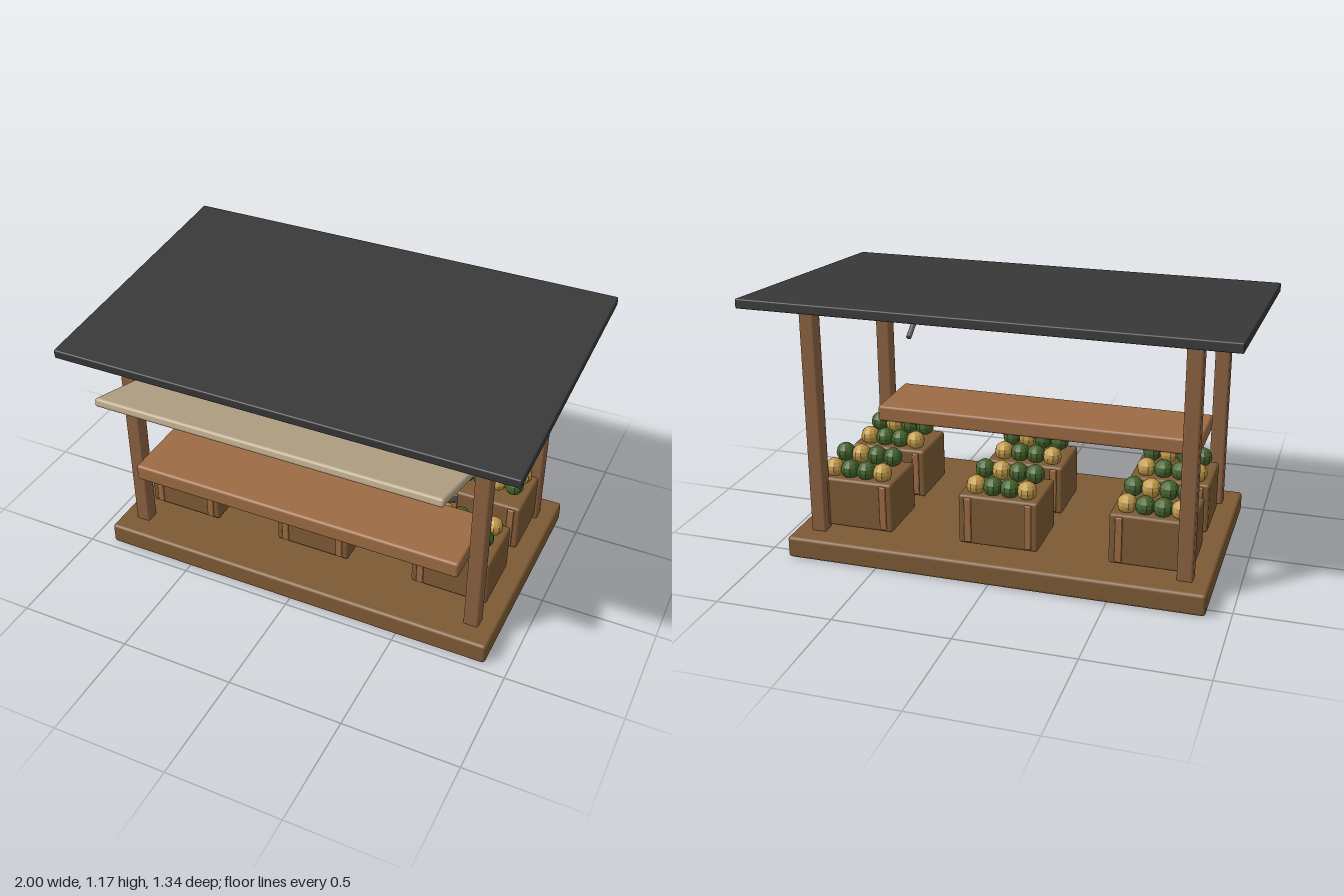
import * as THREE from 'three';
import { RoundedBoxGeometry } from 'three/addons/geometries/RoundedBoxGeometry.js';

const mat = (color, flatShading = false) => new THREE.MeshStandardMaterial({ color, flatShading });

export function createModel() {
  const stall = new THREE.Group();
  stall.name = 'marketStall';

  const darkWood = mat(0x7d5a34);
  const postWood = mat(0x8b6140);
  const counterWood = mat(0x9c6b43);
  const roofing = mat(0x383838);
  const cloth = mat(0xb8a688);
  const metal = mat(0x666666);
  const green = mat(0x45632d, true);
  const yellow = mat(0xc09a48, true);

  // Softly bevelled box, centred on (x, y, z)
  function box(name, parent, material, [w, h, d], [x, y, z], bevel = 0.01) {
    const mesh = new THREE.Mesh(new RoundedBoxGeometry(w, h, d, 2, bevel), material);
    mesh.name = name;
    mesh.position.set(x, y, z);
    parent.add(mesh);
    return mesh;
  }

  // Platform and serving counter
  box('platform', stall, darkWood, [1.8, 0.095, 1.03], [0, 0.0475, -0.05], 0.014);
  box('counter', stall, counterWood, [1.5, 0.074, 0.336], [0, 0.433, 0.273], 0.012);

  // Corner posts
  for (const x of [-0.797, 0.797])
    for (const z of [0.336, -0.437])
      box('post', stall, postWood, [0.066, 0.99, 0.066], [x, 0.583, z], 0.01);

  // Roof, rising towards the back
  box('roof', stall, roofing, [2, 0.04, 1.24], [0, 1.101, -0.05], 0.006).rotation.x = 0.08;

  // Raised front shutter
  box('shutter', stall, cloth, [1.5, 0.037, 0.375], [0, 0.898, 0.487], 0.012).rotation.x = -0.283;

  // Props holding the shutter
  const propAxis = new THREE.Vector3(0, 0.168, 0.232).normalize();
  for (const x of [-0.69, 0.69]) {
    const prop = new THREE.Mesh(new THREE.CylinderGeometry(0.0125, 0.0125, 0.288, 10), metal);
    prop.name = 'shutterProp';
    prop.position.set(x, 0.812, 0.479);
    prop.quaternion.setFromUnitVectors(new THREE.Vector3(0, 1, 0), propAxis);
    stall.add(prop);
  }

  // Crates of produce: three across, two deep
  const fruitGeometry = new THREE.SphereGeometry(0.042, 10, 8);
  function produceCrate(x, z) {
    const crate = new THREE.Group();
    crate.name = 'produceCrate';
    crate.position.set(x, 0, z);
    box('crateBody', crate, darkWood, [0.345, 0.222, 0.268], [0, 0.217, 0], 0.012);
    for (const sx of [-1, 1])
      for (const sz of [-1, 1])
        box('crateSlat', crate, counterWood, [0.03, 0.2, 0.02], [sx * 0.131, 0.217, sz * 0.133], 0.005);

    // Front row sits a little higher than the back row
    for (let row = 0; row < 2; row++)
      for (let col = 0; col < 4; col++) {
        const isYellow = (col - row + 3) % 3 === 2;
        const fruit = new THREE.Mesh(fruitGeometry, isYellow ? yellow : green);
        fruit.name = 'fruit';
        fruit.position.set((col - 1.5) * 0.074, row ? 0.356 : 0.381, row ? -0.076 : 0.045);
        crate.add(fruit);
      }
    stall.add(crate);
  }
  for (const x of [-0.645, 0, 0.645])
    for (const z of [0.1, -0.288]) produceCrate(x, z);

  return stall;
}
